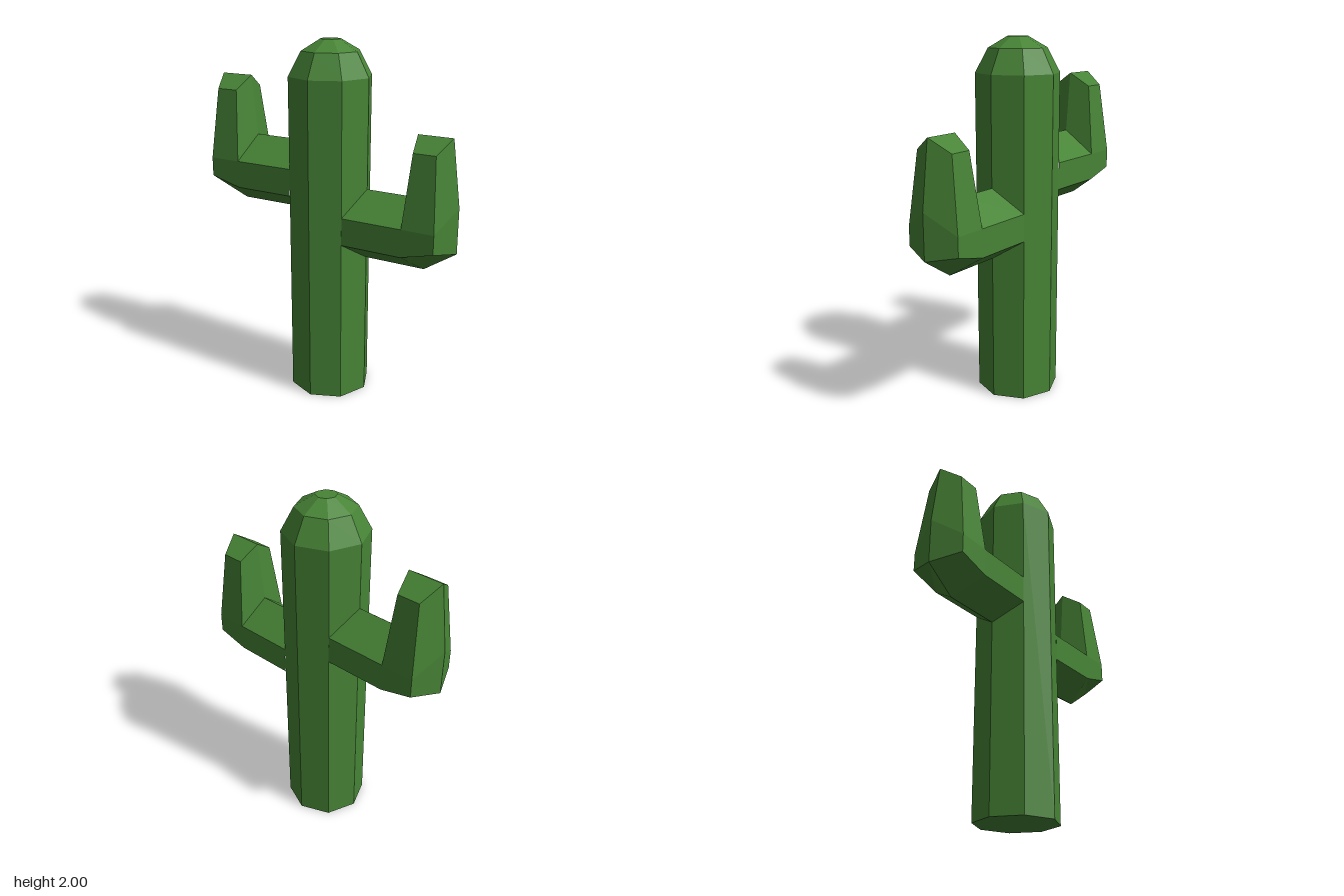
import * as THREE from 'three';

const material = new THREE.MeshStandardMaterial({ color: 0x478436, flatShading: true });

// Six-point cross-section, symmetric in z: inner ridge, upper side, lower side, outer ridge
function ring(inner, upper, lower, outer, w) {
  return [
    [...inner, 0], [...upper, w], [...lower, w],
    [...outer, 0], [...lower, -w], [...upper, -w],
  ];
}

// Bent arm growing toward +x, lofted through its cross-sections
function armGeometry() {
  const w = 0.163;
  const ridge = [0.48, 1.217], crook = [0.51, 1.085];
  const rings = [
    ring([0.23, 1.217], [0.163, 1.085], [0.163, 0.933], [0.23, 0.825], w),
    ring(ridge, crook, [0.51, 0.933], [0.577, 0.825], w),
    ring(ridge, crook, [0.692, 0.98], [0.757, 0.945], w),
    ring(ridge, crook, [0.692, 1.085], [0.757, 1.195], w),
    ring([0.515, 1.55], [0.54, 1.477], [0.665, 1.477], [0.71, 1.55], 0.113),
  ];
  const positions = [];
  const tri = (...corners) => {
    const [a, b, c] = corners.map((p) => new THREE.Vector3(...p));
    // Skip collapsed triangles where the elbow sections share a point
    if (new THREE.Triangle(a, b, c).getArea() > 1e-6) positions.push(...corners.flat());
  };
  const quad = (a, b, c, d) => { tri(a, b, c); tri(a, c, d); };

  for (let s = 0; s < rings.length - 1; s++) {
    const p = rings[s], q = rings[s + 1];
    for (let i = 0; i < 6; i++) {
      const j = (i + 1) % 6;
      quad(p[i], p[j], q[j], q[i]);
    }
  }
  // Gabled tip
  const t = rings[rings.length - 1];
  quad(t[0], t[1], t[2], t[3]);
  quad(t[3], t[4], t[5], t[0]);

  const geometry = new THREE.BufferGeometry();
  geometry.setAttribute('position', new THREE.Float32BufferAttribute(positions, 3));
  geometry.computeVertexNormals();
  return geometry;
}

export function createModel() {
  const model = new THREE.Group();
  model.name = 'cactus';
  const add = (name, geometry) => {
    const mesh = new THREE.Mesh(geometry, material);
    mesh.name = name;
    model.add(mesh);
    return mesh;
  };

  // Octagonal trunk with a faceted dome
  const profile = [[0, 0], [0.23, 0], [0.23, 1.81], [0.16, 1.94], [0.056, 2], [0, 2]];
  add('trunk', new THREE.LatheGeometry(profile.map((p) => new THREE.Vector2(...p)), 8));

  // Two arms: the right one is turned around and set higher
  const arm = armGeometry();
  add('leftArm', arm);
  const rightArm = add('rightArm', arm);
  rightArm.rotation.y = Math.PI;
  rightArm.position.y = 0.227;

  return model;
}
